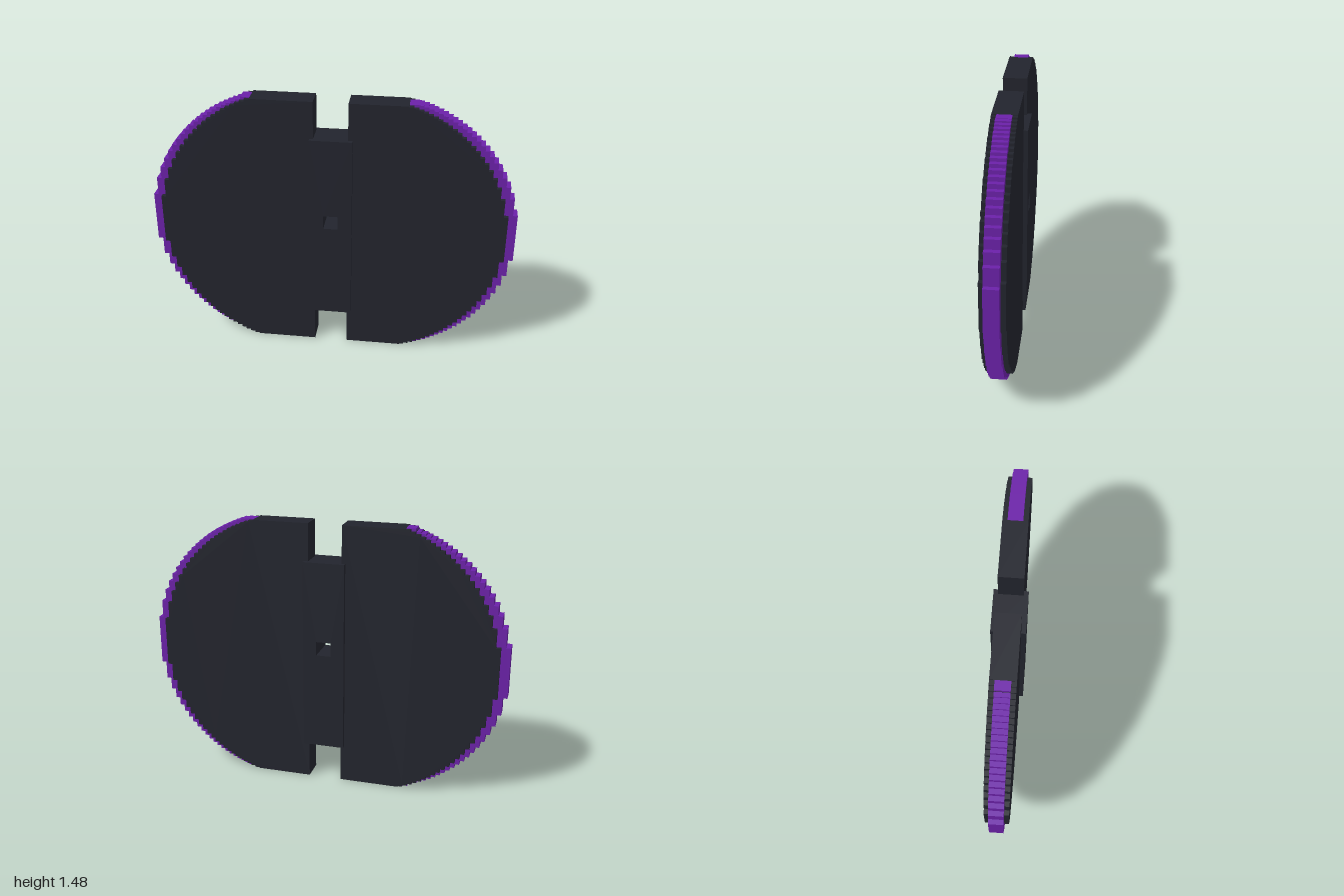
import * as THREE from 'three';

const HEIGHT = 1.48, MID = HEIGHT / 2, STEP = 0.0255;

// Half disc with a straight inner edge and a stair-stepped arc on the outside.
function steppedHalf(side, inner, flatEnd, outer, radius) {
  const centre = outer - radius;
  const count = Math.round((outer - flatEnd) / STEP);
  const width = (outer - flatEnd) / count;
  const top = [[inner, MID], [flatEnd, MID]];
  for (let i = 0; i < count; i++) {
    const x = flatEnd + i * width;
    const dx = x + width / 2 - centre;
    const h = Math.min(MID, Math.sqrt(Math.max(0, radius * radius - dx * dx)));
    top.push([x, h], [x + width, h]);
  }
  const outline = [...top, ...top.slice().reverse().map(([x, h]) => [x, -h])];
  return new THREE.Shape(outline.map(([x, y]) => new THREE.Vector2(side * x, MID + y)));
}

// Rectangle given by its x and y limits.
function rectangle(Type, x0, x1, y0, y1) {
  const p = new Type();
  p.moveTo(x0, y0);
  p.lineTo(x1, y0);
  p.lineTo(x1, y1);
  p.lineTo(x0, y1);
  p.closePath();
  return p;
}

// Plate extruded evenly to both sides of z = 0.
function plate(name, shape, depth, material) {
  const geometry = new THREE.ExtrudeGeometry(shape, { depth, bevelEnabled: false });
  geometry.translate(0, 0, -depth / 2);
  const mesh = new THREE.Mesh(geometry, material);
  mesh.name = name;
  return mesh;
}

export function createModel() {
  const model = new THREE.Group();
  model.name = 'splitDisc';
  const dark = new THREE.MeshStandardMaterial({ color: 0x22242d });
  dark.name = 'charcoal';
  const purple = new THREE.MeshStandardMaterial({ color: 0x6b21a8 });
  purple.name = 'purple';

  // Dark half discs; the two halves differ slightly
  model.add(plate('leftHalf', steppedHalf(1, 0.09, 0.4, 0.95, 0.773), 0.13, dark));
  model.add(plate('rightHalf', steppedHalf(-1, 0.095, 0.43, 0.95, 0.787), 0.13, dark));

  // Purple cutting edges, thinner and standing out past the discs
  model.add(plate('leftEdge', steppedHalf(1, 0.4, 0.45, 1, 0.775), 0.078, purple));
  model.add(plate('rightEdge', steppedHalf(-1, 0.43, 0.48, 1, 0.77), 0.078, purple));

  // Central grip with a square hole right through
  const grip = rectangle(THREE.Shape, -0.115, 0.115, 0.212, 1.275);
  grip.holes.push(rectangle(THREE.Path, -0.04, 0.04, 0.755, 0.832));
  model.add(plate('grip', grip, 0.178, dark));

  return model;
}
